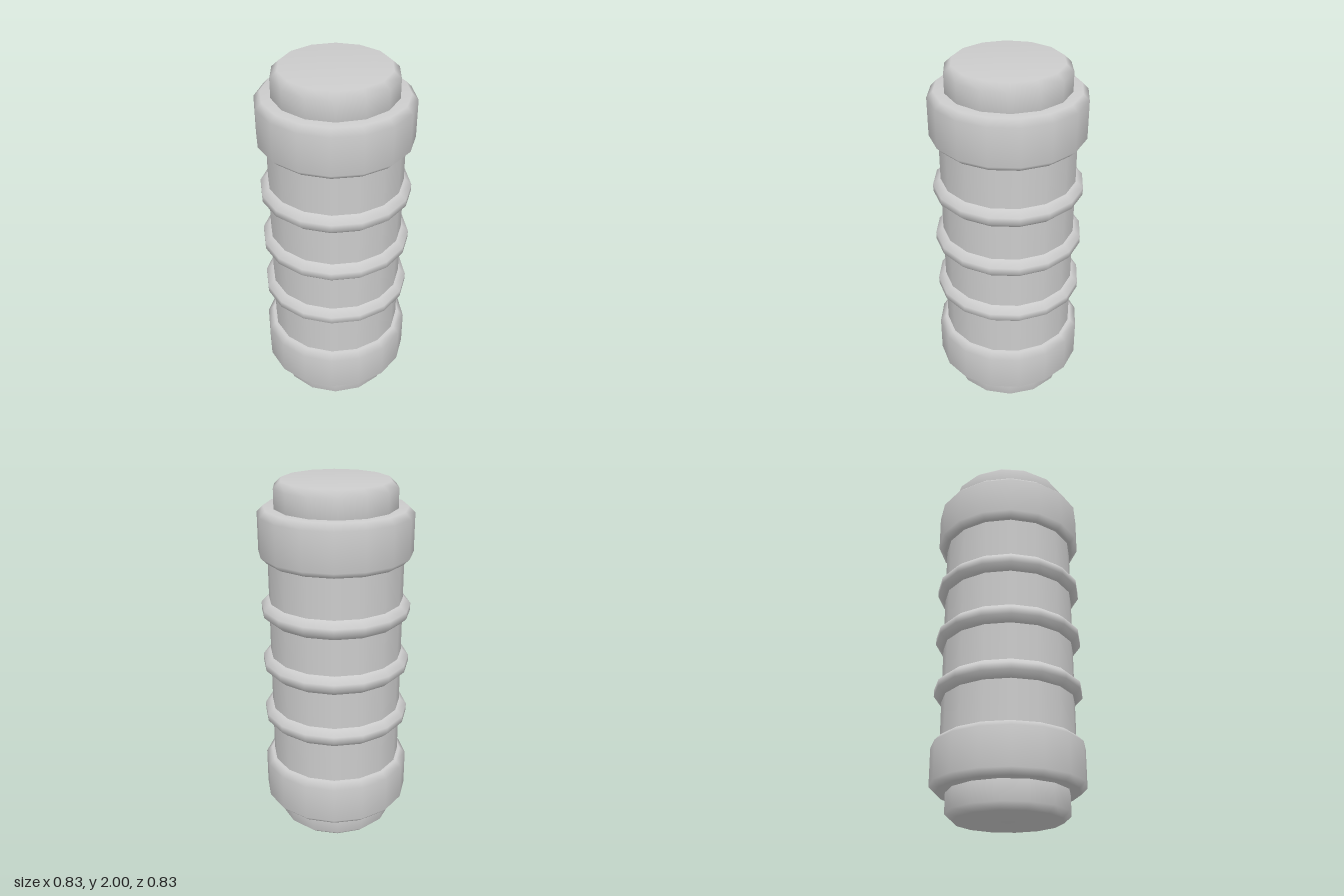
import * as THREE from 'three';

const material = new THREE.MeshStandardMaterial({ color: 0xcccccc });

// Smooth turned part; profile is [radius, y] from bottom to top
function turned(name, profile, sides) {
  const points = profile.map(([r, y]) => new THREE.Vector2(r, y));
  const mesh = new THREE.Mesh(new THREE.LatheGeometry(points, sides), material);
  mesh.name = name;
  return mesh;
}

// Band with chamfered rims whose flat ends run in to innerRadius
function band(name, innerRadius, radius, height, chamferR, chamferY, sides) {
  const h = height / 2;
  return turned(name, [
    [innerRadius, -h], [radius - chamferR, -h], [radius, -h + chamferY],
    [radius, h - chamferY], [radius - chamferR, h], [innerRadius, h],
  ], sides);
}

export function createModel() {
  const group = new THREE.Group();

  // Central shaft
  group.add(turned('shaft', [[0.365, 0.3], [0.365, 1.7]], 16));

  // Three thin grip rings
  [0.694, 1.004, 1.314].forEach((y, i) => {
    const ring = band('gripRing' + (i + 1), 0.33, 0.407, 0.102, 0.035, 0.032, 16);
    ring.position.y = y;
    group.add(ring);
  });

  // Collar and end cap at both ends
  for (const [end, collarY, capY] of [['lower', 0.28, 0.1], ['upper', 1.726, 1.9]]) {
    const collar = band(end + 'Collar', 0.25, 0.413, 0.272, 0.033, 0.033, 16);
    collar.position.y = collarY;
    const cap = band(end + 'Cap', 0, 0.327, 0.2, 0.038, 0.035, 14);
    cap.position.y = capY;
    group.add(collar, cap);
  }

  return group;
}
